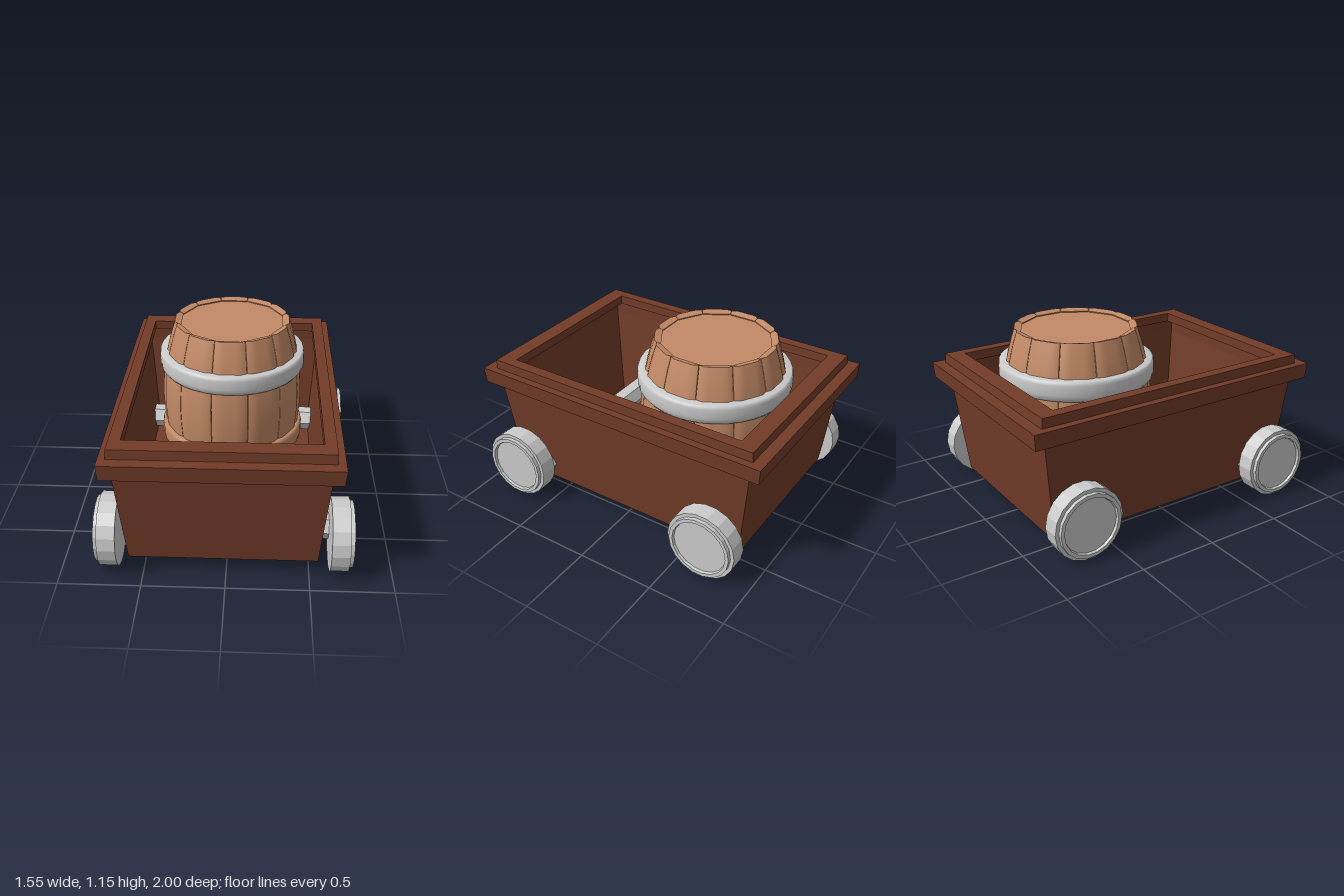
import * as THREE from 'three';
import { toCreasedNormals } from 'three/addons/utils/BufferGeometryUtils.js';

const brown = new THREE.MeshStandardMaterial({ color: 0x733c29 });
const wood = new THREE.MeshStandardMaterial({ color: 0xc38a66 });
const metal = new THREE.MeshStandardMaterial({ color: 0xcccccc });

function addMesh(parent, name, geometry, material) {
  const mesh = new THREE.Mesh(geometry, material);
  mesh.name = name;
  parent.add(mesh);
  return mesh;
}

// Sweeps a profile of [halfX, halfZ, y] around a rectangle
function rectangularLathe(profile) {
  const corners = [[1, 1], [1, -1], [-1, -1], [-1, 1]];
  const at = ([hx, hz, y], [sx, sz]) => [hx * sx, y, hz * sz];
  const positions = [];
  for (let i = 0; i < profile.length - 1; i++) {
    for (let k = 0; k < 4; k++) {
      const next = corners[(k + 1) % 4];
      const a = at(profile[i], corners[k]), b = at(profile[i], next);
      const c = at(profile[i + 1], next), d = at(profile[i + 1], corners[k]);
      positions.push(...a, ...b, ...c, ...a, ...c, ...d);
    }
  }
  const g = new THREE.BufferGeometry();
  g.setAttribute('position', new THREE.Float32BufferAttribute(positions, 3));
  g.computeVertexNormals();
  return g;
}

function lathe(points, segments, crease = 0.6) {
  const g = new THREE.LatheGeometry(points.map(([r, y]) => new THREE.Vector2(r, y)), segments);
  return toCreasedNormals(g, crease);
}

// One bulging stave, bent from a box and facing +z
const barrelHeight = 1.06;
function staveGeometry() {
  const g = new THREE.BoxGeometry(1, 1, 1, 6, 12, 1);
  const p = g.attributes.position;
  for (let i = 0; i < p.count; i++) {
    const u = p.getX(i) * 2, t = p.getY(i) * 2, outer = p.getZ(i) > 0;
    const apothem = 0.465 - 0.09 * t * t;
    const r = outer ? apothem - 0.02 * u ** 6 : apothem - 0.045;
    const y = (t * barrelHeight) / 2 - (outer ? 0 : 0.012 * Math.sign(t) * t ** 8);
    p.setXYZ(i, u * r * Math.tan(Math.PI / 12) * 0.985, y, r);
  }
  g.computeVertexNormals();
  return g;
}

function createBarrel() {
  const barrel = new THREE.Group();
  barrel.name = 'barrel';
  const stave = staveGeometry();
  for (let i = 0; i < 12; i++) {
    addMesh(barrel, 'stave', stave, wood).rotation.y = (i * Math.PI) / 6;
  }
  // Solid core closes the gaps and forms the lids
  const core = [-1, -0.6, -0.2, 0.2, 0.6, 1].map(t => [0.445 - 0.09 * t * t, t * 0.51]);
  addMesh(barrel, 'lids', lathe([[0, -0.51], ...core, [0, 0.51]], 12), wood)
    .rotation.y = Math.PI / 12;
  // Two hoops
  const hoop = lathe([
    [0.42, -0.065], [0.465, -0.062], [0.478, -0.045], [0.4825, -0.02],
    [0.4825, 0.04], [0.478, 0.06], [0.47, 0.065], [0.42, 0.065],
  ], 36, 0.9);
  addMesh(barrel, 'upperHoop', hoop, metal).position.y = 0.265;
  addMesh(barrel, 'lowerHoop', hoop, wood).position.y = -0.265;
  return barrel;
}

// Axle with a wheel on each end
function createWheelPair(name, x, wheelZ, axleZ) {
  const pair = new THREE.Group();
  pair.name = name;
  pair.position.x = x;
  const axleGeometry = toCreasedNormals(new THREE.CylinderGeometry(0.083, 0.083, 1.3, 6), 0.3);
  const axle = addMesh(pair, 'axle', axleGeometry, metal);
  axle.rotation.z = Math.PI / 2;
  axle.position.set(0, 0.203, axleZ);
  // Stepped disc with a sunken face
  const wheel = lathe([
    [0, 0.632], [0.226, 0.632], [0.226, 0.742], [0.203, 0.742],
    [0.203, 0.766], [0.18, 0.766], [0.175, 0.75], [0, 0.75],
  ], 18, 0.25);
  for (const side of [1, -1]) {
    const m = addMesh(pair, side > 0 ? 'leftWheel' : 'rightWheel', wheel, metal);
    m.rotation.z = (-side * Math.PI) / 2;
    m.position.set(0, 0.228, wheelZ);
  }
  return pair;
}

export function createModel() {
  const model = new THREE.Group();
  model.name = 'cartWithBarrel';

  // Tapered tub with a two-step rim, then down the inside to the floor
  const tub = rectangularLathe([
    [0, 0, 0.09], [0.572, 0.835, 0.09], [0.625, 0.91, 0.75],
    [0.679, 0.992, 0.75], [0.686, 1, 0.85], [0.64, 0.93, 0.85], [0.638, 0.925, 0.91],
    [0.568, 0.82, 0.91], [0.568, 0.82, 0.85], [0.615, 0.895, 0.85],
    [0.615, 0.895, 0.75], [0.568, 0.825, 0.1], [0, 0, 0.1],
  ]);
  addMesh(model, 'tub', tub, brown).position.x = -0.02;

  model.add(createWheelPair('frontWheels', -0.0125, 0.737, 0.628));
  model.add(createWheelPair('backWheels', 0.005, -0.688, -0.678));

  const barrel = createBarrel();
  barrel.position.set(-0.01, 0.63, -0.32);
  model.add(barrel);
  return model;
}
